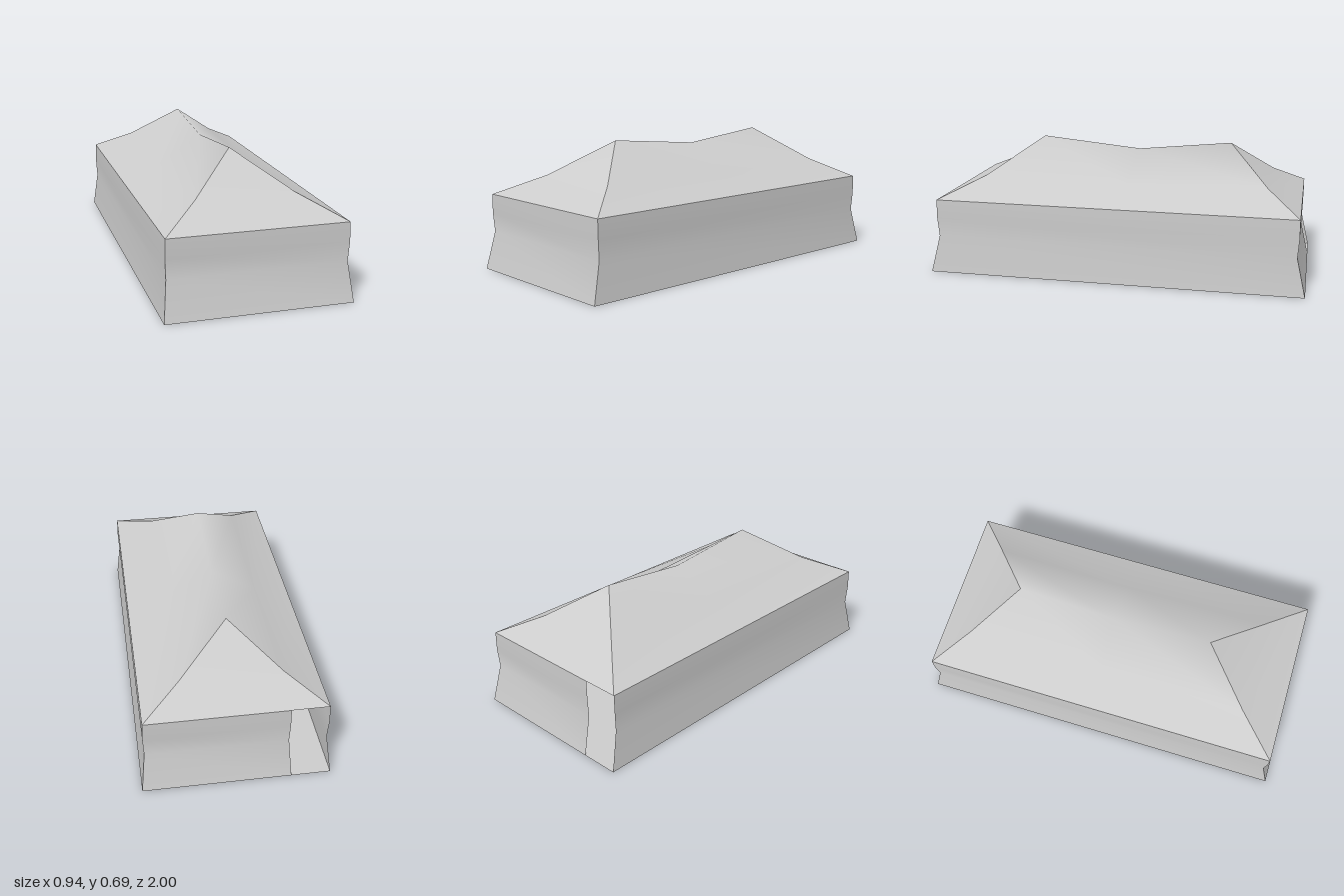
import * as THREE from 'three';

const material = new THREE.MeshStandardMaterial({ color: 0xcccccc, side: THREE.DoubleSide });

// Smooth sheet through rows of points (columns run left to right, rows upward, seen from outside)
function sheet(name, rows) {
  const n = rows[0].length, index = [];
  for (let r = 0; r < rows.length - 1; r++) {
    for (let c = 0; c < n - 1; c++) {
      const a = r * n + c, b = a + n;
      index.push(a, a + 1, b, a + 1, b + 1, b);
    }
  }
  const geometry = new THREE.BufferGeometry();
  geometry.setAttribute('position', new THREE.Float32BufferAttribute(rows.flat(2), 3));
  geometry.setIndex(index);
  geometry.computeVertexNormals();
  const mesh = new THREE.Mesh(geometry, material);
  mesh.name = name;
  return mesh;
}

export function createModel() {
  const group = new THREE.Group();
  group.name = 'tent';

  // Wall profile: half width, height, half length
  const profile = [[0.472, 0, 1], [0.451, 0.2, 0.953], [0.456, 0.3, 0.96], [0.454, 0.4, 0.96]];
  const wall = (name, from, to) =>
    group.add(sheet(name, profile.map(([x, y, z]) => [from(x, y, z), to(x, y, z)])));
  const corner = (sx, sz) => (x, y, z) => [sx * x, y, sz * z];
  const doorEdge = (x, y, z) => [-0.58 * x, y, -z];

  wall('frontWall', corner(-1, 1), corner(1, 1));
  wall('rightSideWall', corner(1, 1), corner(1, -1));
  wall('leftSideWall', corner(-1, -1), corner(-1, 1));
  // The back wall stops short, leaving an open doorway
  wall('backWall', corner(1, -1), doorEdge);

  // Roof: sagging slopes, smooth over the ridge
  const eave = (s) => [[s * 0.454, 0.4, 0.96], [s * 0.454, 0.4, -0.04], [s * 0.454, 0.4, -0.96]];
  const middle = (s) => [[s * 0.255, 0.503, 0.745], [s * 0.25, 0.483, -0.04], [s * 0.255, 0.503, -0.785]];
  const ridge = [[-0.005, 0.685, 0.485], [-0.005, 0.633, -0.06], [-0.005, 0.685, -0.565]];
  group.add(sheet('roofSlopes', [eave(1), middle(1), ridge, middle(-1), eave(-1)]));

  // Triangular hips at both ends
  const hip = (name, s, i) => group.add(sheet(name, [
    [eave(-s)[i], eave(s)[i]],
    [middle(-s)[i], middle(s)[i]],
    [ridge[i], ridge[i]],
  ]));
  hip('frontHip', 1, 0);
  hip('backHip', -1, 2);

  // Ground sheet
  const floor = new THREE.Mesh(new THREE.PlaneGeometry(0.944, 2), material);
  floor.rotation.x = Math.PI / 2;
  floor.name = 'floor';
  group.add(floor);

  return group;
}
